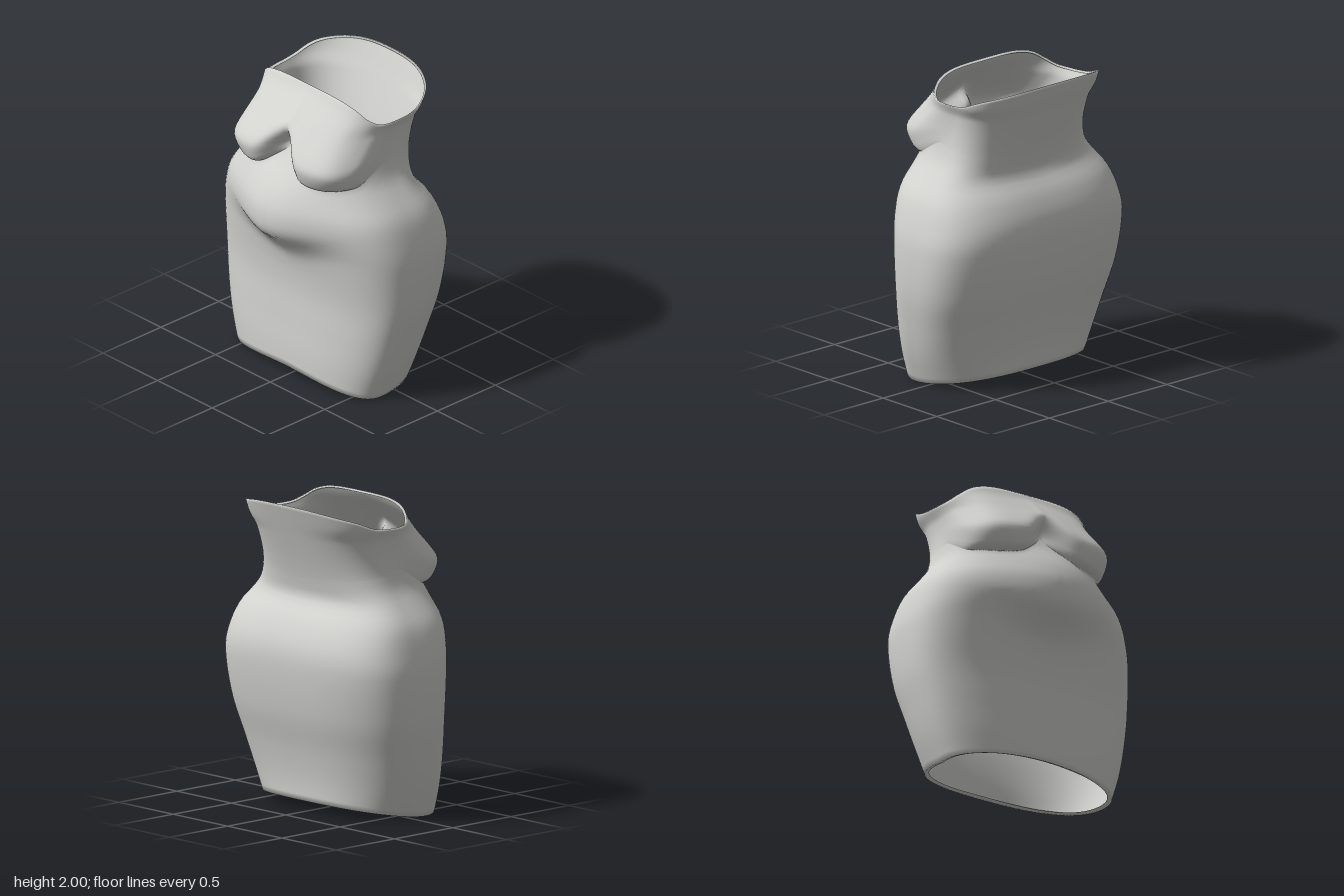
import * as THREE from 'three';

const { lerp, smoothstep, radToDeg } = THREE.MathUtils;

// Smooth lookup: rows of [key, v1, v2, ...], Hermite interpolated
function lookup(rows, key, col = 1) {
  const n = rows.length;
  if (key <= rows[0][0]) return rows[0][col];
  if (key >= rows[n - 1][0]) return rows[n - 1][col];
  let i = 0;
  while (rows[i + 1][0] < key) i++;
  const slope = (k) => {
    const a = rows[Math.max(k - 1, 0)], b = rows[Math.min(k + 1, n - 1)];
    return (b[col] - a[col]) / (b[0] - a[0]);
  };
  const h = rows[i + 1][0] - rows[i][0], t = (key - rows[i][0]) / h;
  const t2 = t * t, t3 = t2 * t;
  return (2 * t3 - 3 * t2 + 1) * rows[i][col] + (t3 - 2 * t2 + t) * h * slope(i)
    + (3 * t2 - 2 * t3) * rows[i + 1][col] + (t3 - t2) * h * slope(i + 1);
}

// Height: half width, front z, back z, centre z, squareness of front and back
const SECTIONS = [
  [0.00, 0.62, 0.36, -0.345, 0.10, 2.7, 2.5],
  [0.20, 0.69, 0.36, -0.36, 0.06, 2.8, 2.6],
  [0.40, 0.74, 0.35, -0.40, 0.02, 2.9, 2.7],
  [0.65, 0.785, 0.345, -0.47, -0.03, 2.9, 2.8],
  [0.95, 0.79, 0.38, -0.515, -0.06, 2.9, 3.0],
  [1.10, 0.76, 0.405, -0.505, -0.06, 2.9, 3.0],
  [1.25, 0.705, 0.41, -0.44, -0.06, 2.8, 2.9],
  [1.37, 0.615, 0.38, -0.352, -0.05, 2.6, 2.8],
  [1.46, 0.55, 0.35, -0.36, -0.06, 2.7, 2.7],
  [1.60, 0.51, 0.305, -0.40, -0.08, 3.0, 2.6],
  [1.78, 0.505, 0.225, -0.465, -0.14, 3.4, 2.5],
  [1.87, 0.54, 0.19, -0.50, -0.18, 3.6, 2.5],
  [2.00, 0.55, 0.15, -0.55, -0.20, 3.8, 2.5],
];
// Belly fullness by height
const BELLY = [[0.78, 0], [0.9, 0.015], [1.0, 0.075], [1.08, 0.135], [1.2, 0.14],
  [1.35, 0.115], [1.44, 0.08], [1.55, 0.02], [1.63, 0]];
// Underbust seam height by degrees away from the front centre
const SEAM = [[0, 1.62], [10, 1.54], [21, 1.46], [32, 1.44], [44, 1.448], [56, 1.47],
  [67, 1.53], [78, 1.58], [92, 1.56], [180, 1.5]];
// Bust fullness from seam (0) to neckline (1)
const BUST = [[0, 0], [0.03, 0.04], [0.1, 0.095], [0.27, 0.168], [0.39, 0.16],
  [0.67, 0.085], [0.88, 0.02], [1, 0]];
// Neckline height by relative depth, back (-1) to front (1)
const NECK = [[-1, 2.0], [-0.8, 1.965], [-0.5, 1.925], [-0.2, 1.88], [0, 1.867], [0.3, 1.86],
  [0.6, 1.867], [0.8, 1.905], [0.92, 1.955], [1, 1.99]];

// Unit superellipse point at an angle, with its own squareness front and back
function unit(phi, front, back) {
  const c = Math.cos(phi), s = Math.sin(phi), n = s > 0 ? front : back;
  const r = Math.pow(Math.pow(Math.abs(c), n) + Math.pow(Math.abs(s), n), -1 / n);
  return [c * r, s * r];
}

// Base cross-section with the belly added; the belly's lower edge rises to the sides
function bodyPoint(phi, y) {
  const [w, front, back, zc, nf, nb] = [1, 2, 3, 4, 5, 6].map((c) => lookup(SECTIONS, y, c));
  const [ux, uz] = unit(phi, nf, nb);
  const p = new THREE.Vector3(ux * w, y, zc + uz * (uz > 0 ? front - zc : zc - back));
  const lift = 0.25 * (Math.hypot(p.x, 0.15) - 0.15) * (1 - smoothstep(y, 1.05, 1.4));
  p.z += lookup(BELLY, y - lift) * smoothstep(uz, 0, 0.6) * Math.exp(-((p.x / 0.37) ** 2));
  return p;
}

// Hem arches at the front and rises towards the back
function hemY(phi) {
  const [ux, uz] = unit(phi, 2.7, 2.5);
  return uz > 0 ? 0.065 * (1 - Math.pow(Math.abs(ux), 1.7)) : 0.07 * Math.pow(-uz, 1.2);
}
const neckY = (phi) => lookup(NECK, unit(phi, 3.8, 2.5)[1]);
function seamY(phi) {
  const d = Math.abs(radToDeg(phi) - 90);
  return lookup(SEAM, d > 180 ? 360 - d : d);
}

// Bodice point: cross-section plus two bust forms that overhang the seam
function bodicePoint(phi, t) {
  const p = bodyPoint(phi, lerp(seamY(phi), neckY(phi), t));
  const off = Math.abs(p.x) - 0.27;
  const mound = Math.exp(-((off / (off < 0 ? 0.2 : 0.28)) ** 4));
  // The cleft fades out towards the neckline
  const bridge = off < 0 ? 0.85 * smoothstep(t, 0.02, 0.5) : 0;
  const cup = lerp(mound, 1, bridge) * smoothstep(Math.sin(phi), 0, 0.5);
  const full = lookup(BUST, t) * cup;
  p.z += full;
  p.x += Math.sign(p.x) * full * 0.22 * smoothstep(off, -0.15, 0.15);
  p.y -= full * 0.2 * Math.max(0, 1 - t / 0.35);
  return p;
}

// Copy of an edge row, turned inwards to give the cloth a folded border
function foldRow(row, inset, dy, zc) {
  return row.map((p) => {
    const k = 1 - inset / Math.hypot(p.x, p.z - zc);
    return new THREE.Vector3(p.x * k, p.y + dy, zc + (p.z - zc) * k);
  });
}

// Smooth closed surface through rings of points
function skin(rows, cols) {
  const index = [];
  for (let j = 0; j < rows.length - 1; j++) {
    for (let i = 0; i < cols; i++) {
      const k = (i + 1) % cols;
      const a = j * cols + i, b = j * cols + k, c = b + cols, d = a + cols;
      index.push(a, d, c, a, c, b);
    }
  }
  const geometry = new THREE.BufferGeometry().setFromPoints(rows.flat());
  geometry.setIndex(index);
  geometry.computeVertexNormals();
  return geometry;
}

export function createModel() {
  const fabric = new THREE.MeshStandardMaterial({ color: 0xd2d2cf, side: THREE.DoubleSide });
  fabric.name = 'pale grey fabric';
  const group = new THREE.Group();
  group.name = 'straplessDress';

  // Skirt rows up to the seam, then bodice rows to the neckline
  const COLS = 144, LOW = 40, HIGH = 28;
  const angles = Array.from({ length: COLS }, (_, i) => (i / COLS) * Math.PI * 2);
  const rows = [];
  for (let j = 0; j < LOW; j++) {
    rows.push(angles.map((phi) => bodyPoint(phi, lerp(hemY(phi), seamY(phi), j / LOW))));
  }
  for (let j = 0; j <= HIGH; j++) {
    rows.push(angles.map((phi) => bodicePoint(phi, Math.pow(j / HIGH, 1.4))));
  }

  // Folded hem and neckline borders
  rows.unshift(foldRow(rows[0], 0.03, 0.012, 0));
  rows.push(foldRow(rows[rows.length - 1], 0.015, -0.012, -0.2));

  const dress = new THREE.Mesh(skin(rows, COLS), fabric);
  dress.name = 'dressBody';
  group.add(dress);
  return group;
}
